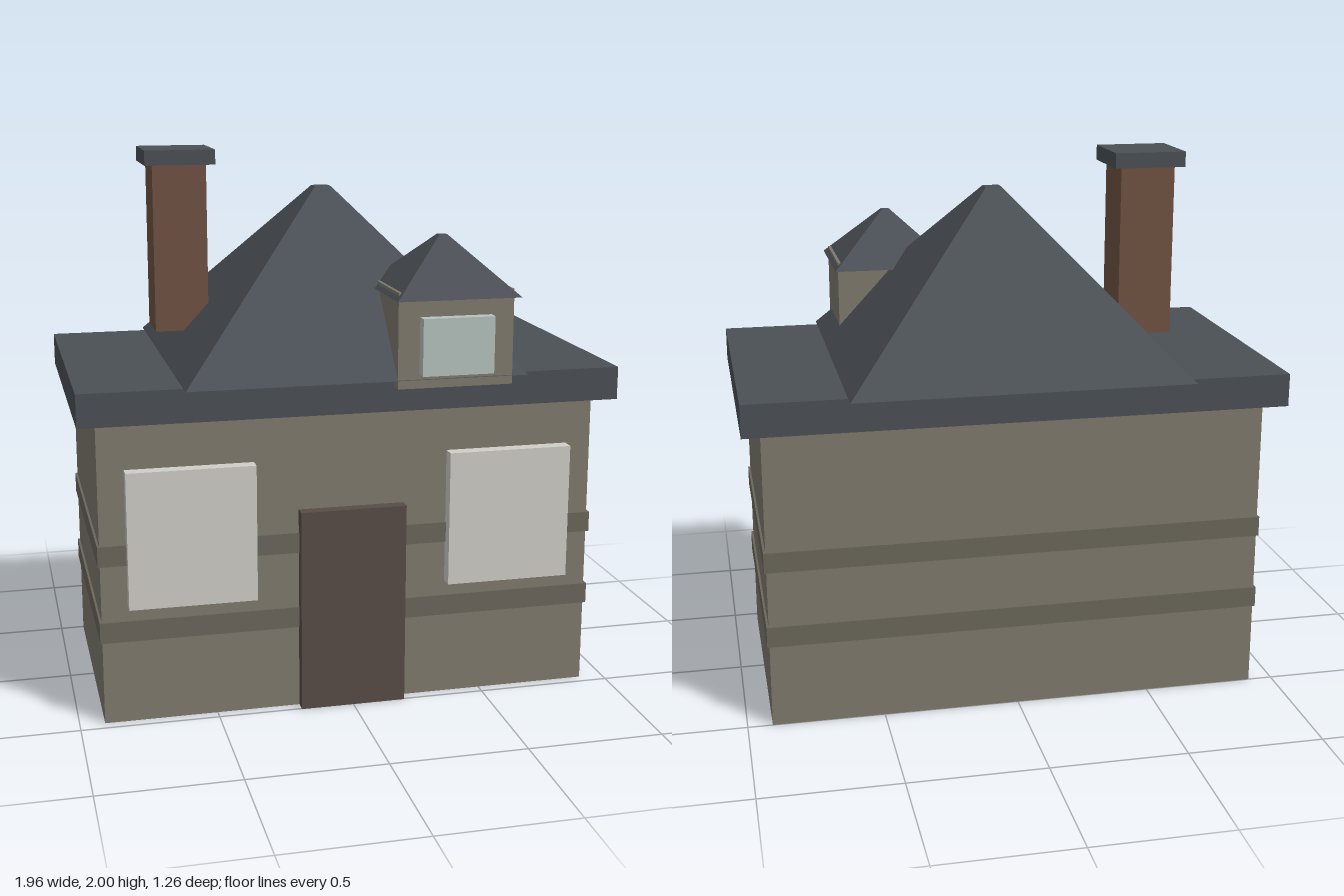
import * as THREE from 'three';

const paint = (color) => new THREE.MeshStandardMaterial({ color, flatShading: true });

export function createModel() {
  const house = new THREE.Group();
  house.name = 'house';
  const wall = paint(0x7f7a6d), trim = paint(0x6b675b), slate = paint(0x4b5056);
  const brick = paint(0x705242), wood = paint(0x584d47), pane = paint(0xd0cdc7), glass = paint(0xb6c2bf);

  const add = (name, geometry, material, parent = house) => {
    const mesh = new THREE.Mesh(geometry, material);
    mesh.name = name;
    parent.add(mesh);
    return mesh;
  };

  // Box given by its extents along each axis
  const block = (name, material, [x0, x1], [y0, y1], [z0, z1], parent) =>
    add(name, new THREE.BoxGeometry(x1 - x0, y1 - y0, z1 - z0), material, parent)
      .position.set((x0 + x1) / 2, (y0 + y1) / 2, (z0 + z1) / 2);

  // Square hipped roof with a small flat top
  const hipRoof = (name, half, topHalf, [y0, y1], x, z, parent) => {
    const g = new THREE.CylinderGeometry(topHalf * Math.SQRT2, half * Math.SQRT2, y1 - y0, 4);
    g.rotateY(Math.PI / 4);
    add(name, g, slate, parent).position.set(x, (y0 + y1) / 2, z);
  };

  // Walls and the two raised bands around them
  block('walls', wall, [-0.91, 0.91], [0, 1.115], [-0.5, 0.46]);
  block('lowerBand', trim, [-0.918, 0.918], [0.308, 0.385], [-0.505, 0.47]);
  block('upperBand', trim, [-0.918, 0.918], [0.593, 0.668], [-0.505, 0.47]);

  // Door and front windows
  block('door', wood, [-0.195, 0.195], [0, 0.753], [0.44, 0.505]);
  for (const [side, x] of [['left', 0.586], ['right', -0.586]])
    block(side + 'Window', pane, [x - 0.23, x + 0.23], [0.44, 0.94], [0.44, 0.51]);

  // Eaves slab and main roof
  block('eavesSlab', slate, [-0.978, 0.978], [1.115, 1.235], [-0.575, 0.538]);
  hipRoof('mainRoof', 0.612, 0.03, [1.235, 1.86], 0, -0.022);

  // Dormer
  const dormer = new THREE.Group();
  dormer.name = 'dormer';
  house.add(dormer);
  block('dormerWalls', wall, [0.132, 0.552], [1.205, 1.545], [0.228, 0.588], dormer);
  block('dormerWindow', glass, [0.21, 0.47], [1.255, 1.458], [0.56, 0.63], dormer);
  hipRoof('dormerRoof', 0.225, 0.015, [1.52, 1.72], 0.342, 0.405, dormer);

  // Chimney
  const chimney = new THREE.Group();
  chimney.name = 'chimney';
  house.add(chimney);
  block('chimneyStack', brick, [-0.63, -0.43], [1.328, 1.945], [-0.24, -0.04], chimney);
  block('chimneyCap', slate, [-0.66, -0.4], [1.945, 2], [-0.27, -0.01], chimney);

  return house;
}
